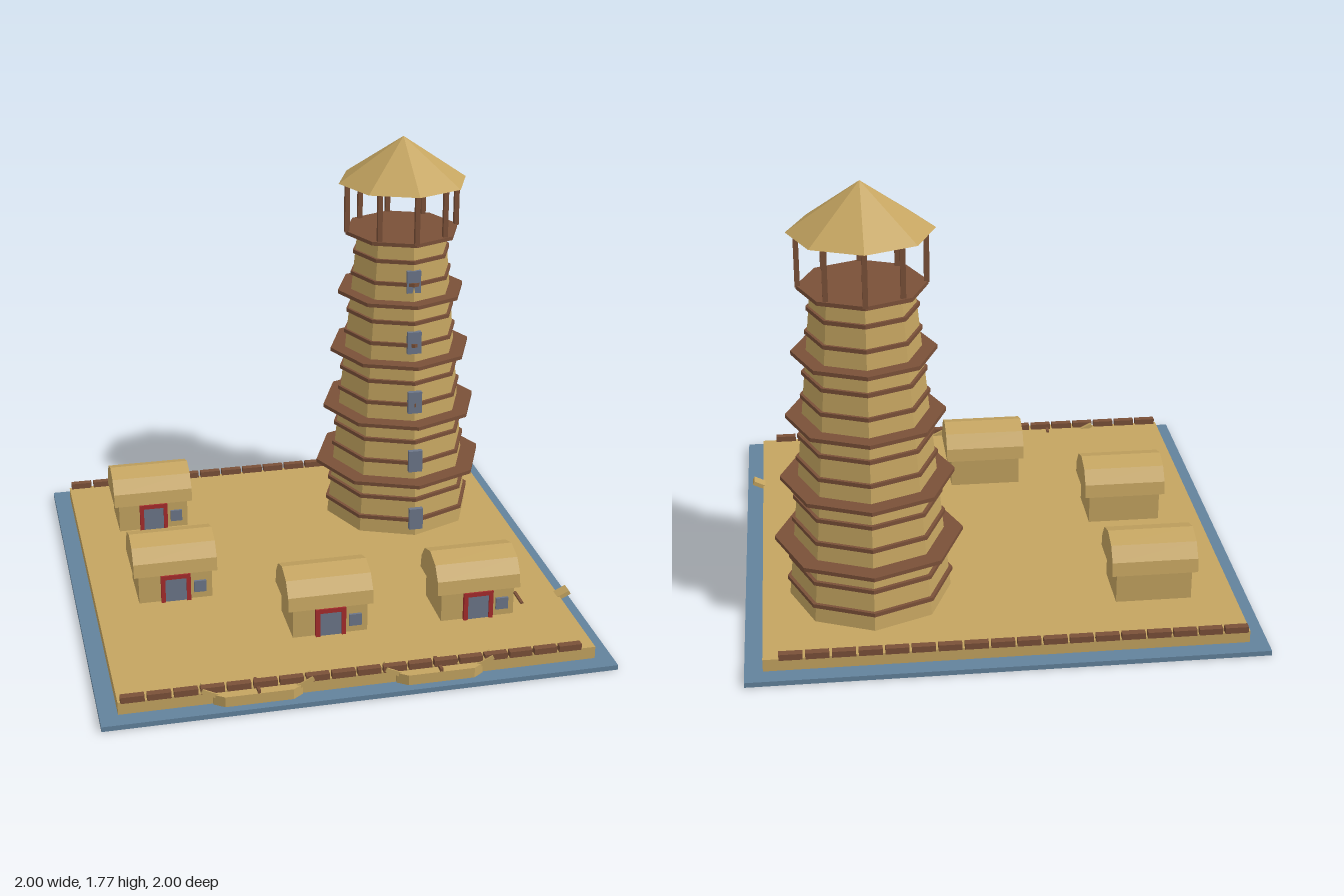
import * as THREE from 'three';

const mat = (name, color) => {
  const m = new THREE.MeshStandardMaterial({ color });
  m.name = name;
  m.flatShading = true;
  return m;
};

export function createModel() {
  const sand = mat('sand', 0xc4a460);
  const wood = mat('brown wood', 0x7a5038);
  const water = mat('water blue', 0x62829c);
  const red = mat('door red', 0xa52c2c);
  const grey = mat('slate grey', 0x6c7689);

  const model = new THREE.Group();
  model.name = 'islandVillage';

  const add = (parent, name, geometry, material, x = 0, y = 0, z = 0) => {
    const m = new THREE.Mesh(geometry, material);
    m.name = name;
    m.position.set(x, y, z);
    parent.add(m);
    return m;
  };
  const box = (parent, name, material, w, h, d, x, y, z) =>
    add(parent, name, new THREE.BoxGeometry(w, h, d), material, x, y, z);
  const group = (name, x, y, z) => {
    const g = new THREE.Group();
    g.name = name;
    g.position.set(x, y, z);
    model.add(g);
    return g;
  };

  // Water and island
  box(model, 'water', water, 2, 0.02, 2, 0, 0.01, 0);
  box(model, 'island', sand, 1.86, 0.05, 1.86, 0, 0.045, 0);

  // Log edging along the front and back shores
  for (const z of [-0.928, 0.925])
    for (let i = 0; i < 18; i++)
      box(model, 'shoreLog', wood, 0.09, 0.025, 0.028, -0.875 + 0.1 * i, 0.0825, z);

  // Eight-sided tower
  const tower = group('tower', 0.5, 0, -0.453);
  const octagon = (name, material, rTop, rBottom, y0, y1) =>
    add(tower, name, new THREE.CylinderGeometry(rTop, rBottom, y1 - y0, 8), material, 0, (y0 + y1) / 2, 0);
  octagon('towerBody', sand, 0.195, 0.32, 0.07, 1.365);
  const ring = (name, r, y) => octagon(name, wood, r, r, y - 0.008, y + 0.008);
  for (let i = 0; i < 5; i++) {
    const y = 0.262 * i;
    ring('lowerBand', 0.327 - 0.0262 * i, y + 0.142);
    ring('upperBand', 0.318 - 0.0262 * i, y + 0.237);
    ring(i < 4 ? 'balcony' : 'lookoutDeck', 0.37 - 0.031 * i, y + 0.322);
    box(tower, 'towerWindow', grey, 0.06, 0.097, 0.02, 0, y + 0.153, 0.323 - 0.03 * i);
  }

  // Lookout posts and roof
  for (let i = 0; i < 8; i++) {
    const a = (i * Math.PI) / 4;
    box(tower, 'lookoutPost', wood, 0.02, 0.215, 0.02,
      Math.sin(a) * (i % 2 ? 0.2 : 0.24), 1.48, Math.cos(a) * 0.24);
  }
  octagon('lookoutRoof', sand, 0, 0.277, 1.585, 1.775);

  // Huts with rounded roofs
  const half = [[0.128, 0.195], [0.119, 0.25], [0.077, 0.305], [0, 0.33]];
  const profile = [...half, ...half.slice(0, 3).reverse().map(([z, y]) => [-z, y])];
  const roofShape = new THREE.Shape(profile.map(([z, y]) => new THREE.Vector2(z, y)));
  const roofGeometry = new THREE.ExtrudeGeometry(roofShape, { depth: 0.34, bevelEnabled: false });
  roofGeometry.translate(0, 0, -0.17).rotateY(-Math.PI / 2);

  for (const [x, z] of [[-0.605, -0.555], [-0.605, 0.1], [-0.053, 0.5], [0.55, 0.5]]) {
    const hut = group('hut', x, 0, z);
    box(hut, 'hutWalls', sand, 0.3, 0.135, 0.22, 0, 0.1325, 0);
    add(hut, 'hutRoof', roofGeometry, sand);
    for (const s of [-1, 1])
      box(hut, 'doorPost', red, 0.017, 0.12, 0.02, s * 0.052, 0.13, 0.116);
    box(hut, 'doorLintel', red, 0.121, 0.018, 0.02, 0, 0.181, 0.116);
    box(hut, 'door', grey, 0.088, 0.102, 0.01, 0, 0.121, 0.114);
    box(hut, 'hutWindow', grey, 0.05, 0.05, 0.012, 0.1, 0.125, 0.114);
  }

  // Boats: tapered hull, raised ends and an oar across the middle
  const hullShape = new THREE.Shape([
    [-0.17, -0.02], [-0.13, -0.048], [0.13, -0.048], [0.17, -0.02],
    [0.17, 0.02], [0.13, 0.048], [-0.13, 0.048], [-0.17, 0.02],
  ].map(([x, z]) => new THREE.Vector2(x, z)));
  const hullGeometry = new THREE.ExtrudeGeometry(hullShape, { depth: 0.042, bevelEnabled: false });
  hullGeometry.rotateX(-Math.PI / 2);

  for (const [x, z] of [[-0.405, 0.92], [0.3, 0.92], [0.76, 0.5]]) {
    const boat = group('boat', x, 0, z);
    add(boat, 'hull', hullGeometry, sand, 0, 0.022, 0);
    for (const s of [-1, 1])
      box(boat, 'boatEnd', sand, 0.09, 0.018, 0.05, s * 0.172, 0.066, 0).rotation.z = s * 0.45;
    box(boat, 'oar', wood, 0.012, 0.014, 0.094, 0, 0.07, 0);
  }

  return model;
}
